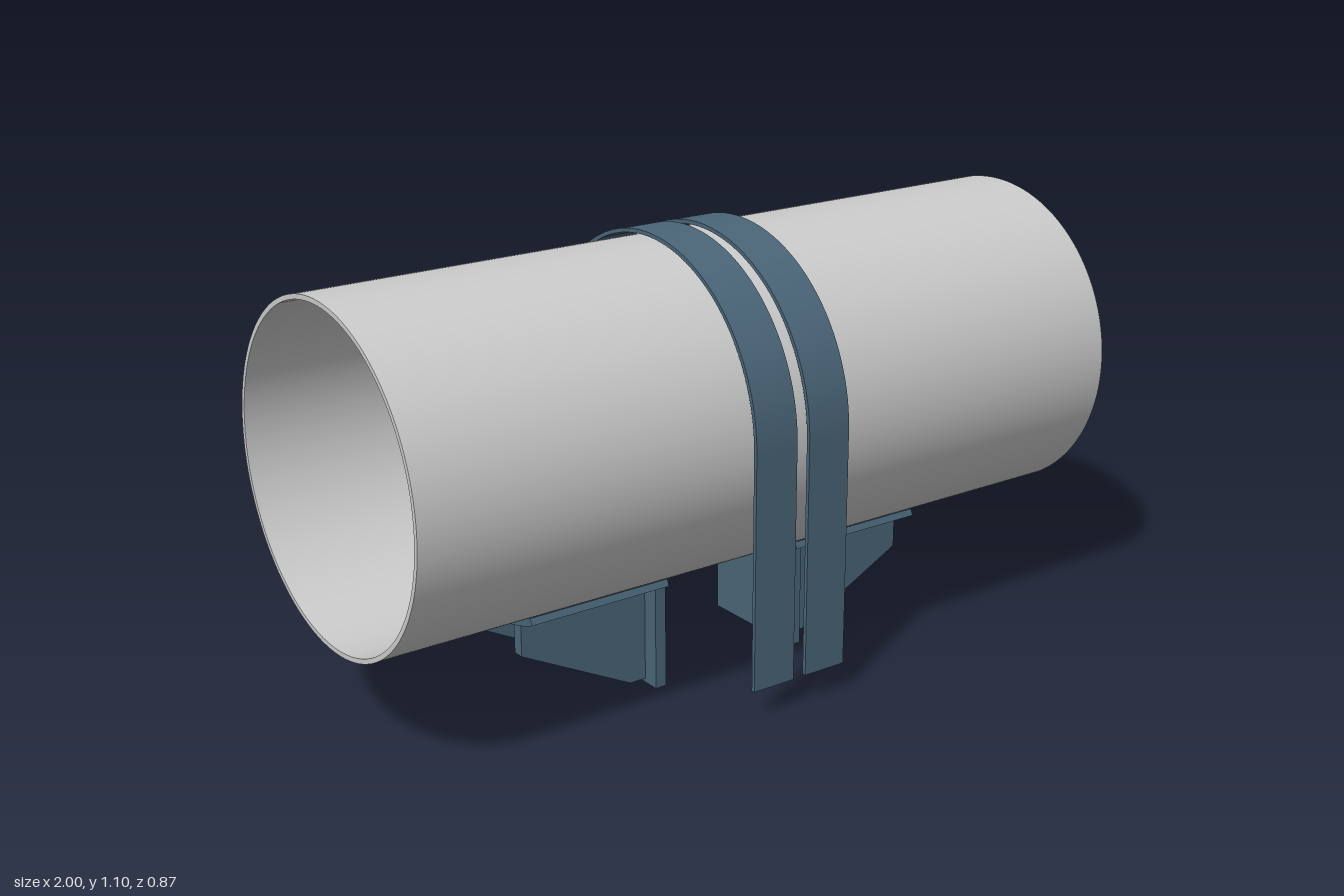
import * as THREE from 'three';
import { toCreasedNormals } from 'three/addons/utils/BufferGeometryUtils.js';

const AXIS_Y = 0.668; // height of the pipe axis
const PIPE_R = 0.413;
const SADDLE_IN = 0.415, SADDLE_OUT = 0.433;

const pipeMaterial = new THREE.MeshStandardMaterial({ color: 0xcccccc });
const steelMaterial = new THREE.MeshStandardMaterial({ color: 0x4a6578 });

// Extrude a z-y cross-section along x, from x0 to x1
function alongX(shape, x0, x1, curveSegments) {
  const g = new THREE.ExtrudeGeometry(shape, { depth: x1 - x0, bevelEnabled: false, curveSegments });
  g.rotateY(Math.PI / 2).translate(x0, 0, 0);
  return toCreasedNormals(g, 0.5);
}

function part(name, geometry, material = steelMaterial) {
  const mesh = new THREE.Mesh(geometry, material);
  mesh.name = name;
  return mesh;
}

// Hollow pipe with open ends
function pipe() {
  const s = new THREE.Shape().absarc(0, AXIS_Y, PIPE_R, 0, Math.PI * 2, false);
  s.holes.push(new THREE.Path().absarc(0, AXIS_Y, 0.401, 0, Math.PI * 2, true));
  return part('pipe', alongX(s, -1, 1, 96), pipeMaterial);
}

// Inverted U band: half ring with straight legs
function strap(name, x0, x1) {
  const R = 0.433, r = 0.423, foot = 0.075;
  const s = new THREE.Shape();
  s.moveTo(-R, foot).lineTo(-R, AXIS_Y);
  s.absarc(0, AXIS_Y, R, Math.PI, 0, true);
  s.lineTo(R, foot).lineTo(r, foot).lineTo(r, AXIS_Y);
  s.absarc(0, AXIS_Y, r, 0, Math.PI, false);
  s.lineTo(-r, foot);
  return part(name, alongX(s, x0, x1, 40));
}

// Support on the +x side: curved saddle, end plate and two tapered gussets
function support(name) {
  const group = new THREE.Group();
  group.name = name;
  const down = -Math.PI / 2;

  const half = 0.41;
  const saddle = new THREE.Shape();
  saddle.absarc(0, AXIS_Y, SADDLE_OUT, down - half, down + half, false);
  saddle.absarc(0, AXIS_Y, SADDLE_IN, down + half, down - half, true);
  group.add(part('saddle', alongX(saddle, 0.197, 0.585, 20)));

  const w = 0.155, a = Math.asin(w / SADDLE_OUT);
  const plate = new THREE.Shape();
  plate.moveTo(-w, 0).lineTo(w, 0);
  plate.absarc(0, AXIS_Y, SADDLE_OUT, down + a, down - a, true);
  group.add(part('endPlate', alongX(plate, 0.195, 0.225, 20)));

  const profile = new THREE.Shape([
    [0.225, 0.01], [0.27, 0.01], [0.577, 0.167], [0.577, 0.247], [0.225, 0.247],
  ].map(([x, y]) => new THREE.Vector2(x, y)));
  for (const z of [-0.095, 0.095]) {
    const g = new THREE.ExtrudeGeometry(profile, { depth: 0.03, bevelEnabled: false });
    g.translate(0, 0, z - 0.015);
    group.add(part(z > 0 ? 'frontGusset' : 'backGusset', g));
  }
  return group;
}

export function createModel() {
  const model = new THREE.Group();
  model.name = 'pipeSupport';
  model.add(pipe());
  model.add(strap('rightStrap', -0.138, -0.02), strap('leftStrap', 0.016, 0.134));

  const leftSupport = support('leftSupport');
  const rightSupport = support('rightSupport');
  rightSupport.rotation.y = Math.PI;
  model.add(leftSupport, rightSupport);
  return model;
}
